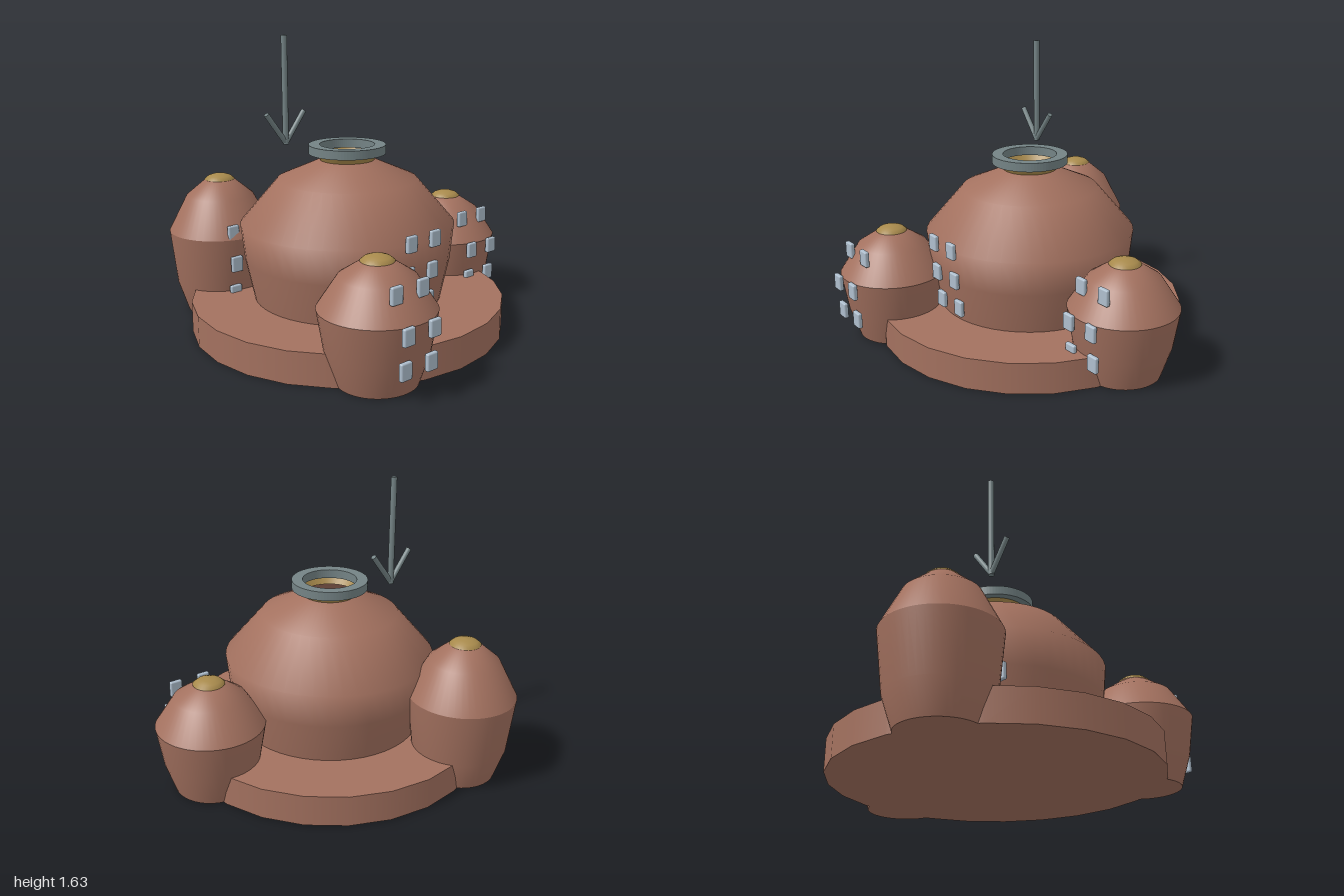
import * as THREE from 'three';
import { RoundedBoxGeometry } from 'three/addons/geometries/RoundedBoxGeometry.js';

const clay = new THREE.MeshStandardMaterial({ color: 0xa3715f, side: THREE.DoubleSide });
clay.name = 'clay';
const brass = new THREE.MeshStandardMaterial({ color: 0xa88a4c, side: THREE.DoubleSide });
brass.name = 'brass';
const steel = new THREE.MeshStandardMaterial({ color: 0x748385 });
steel.name = 'steel';
const glass = new THREE.MeshStandardMaterial({ color: 0xaebecd });
glass.name = 'windowGlass';
const dark = new THREE.MeshStandardMaterial({ color: 0x22302f });
dark.name = 'darkFloor';

function add(parent, name, geometry, material, x = 0, y = 0, z = 0) {
  const mesh = new THREE.Mesh(geometry, material);
  mesh.name = name;
  mesh.position.set(x, y, z);
  parent.add(mesh);
  return mesh;
}

// Surface of revolution from [radius, height] pairs
function lathe(points, segments = 48) {
  return new THREE.LatheGeometry(points.map(([r, y]) => new THREE.Vector2(r, y)), segments);
}

// Two columns of windows; rows are [height, distance to the front]
function addWindows(parent, rows) {
  const pane = new RoundedBoxGeometry(0.07, 0.09, 0.026, 2, 0.008);
  for (const [y, z] of rows)
    for (const x of [-0.085, 0.085]) add(parent, 'window', pane, glass, x, y, z);
}

// Side tower: waist is the height of its widest ring
function makeTower(name, x, z, waist, stretch, rows) {
  const tower = new THREE.Group();
  tower.name = name;
  tower.position.set(x, 0, z);
  add(tower, 'towerBottom', lathe([[0, 0], [0.21, 0]]), clay);
  add(tower, 'towerWall', lathe([[0.21, 0], [0.265, 0.17], [0.3, waist]]), clay);
  const roof = [[0.3, 0], [0.195, 0.16], [0.08, 0.235], [0, 0.24]];
  add(tower, 'towerRoof', lathe(roof.map(([r, y]) => [r, waist + y * stretch])), clay);
  const top = waist + 0.228 * stretch;
  add(tower, 'towerCap', lathe([[0.08, 0], [0.087, 0.008], [0.065, 0.026], [0.035, 0.036], [0, 0.04]], 32),
    brass, 0, top, 0);
  addWindows(tower, rows);
  return tower;
}

export function createModel() {
  const model = new THREE.Group();
  model.name = 'domedStation';

  // Main hall on its round plinth
  const hall = new THREE.Group();
  hall.name = 'mainHall';
  hall.position.set(-0.11, 0, -0.01);
  model.add(hall);
  add(hall, 'plinth', new THREE.CylinderGeometry(0.882, 0.882, 0.175, 24), clay, 0, 0.0875, 0);
  add(hall, 'dome', lathe([[0.53, 0.175], [0.58, 0.41], [0.6, 0.6], [0.39, 0.845], [0.15, 0.95]]), clay);
  addWindows(hall, [[0.61, 0.603], [0.435, 0.587], [0.265, 0.56]]);

  // Open crown with the dark floor below it
  add(hall, 'crownCollar', lathe([[0.15, 0.948], [0.172, 0.985]]), brass);
  add(hall, 'crownRing', lathe([[0.153, 0.985], [0.215, 0.985], [0.215, 1.035], [0.153, 1.035], [0.153, 0.985]]
    .flatMap((p, i, a) => (i > 0 && i < a.length - 1 ? [p, p] : [p]))), steel);
  hall.getObjectByName('crownRing').geometry = ringGeometry(0.153, 0.215, 0.05);
  hall.getObjectByName('crownRing').position.y = 0.985;
  add(hall, 'hallFloor', new THREE.CylinderGeometry(0.52, 0.52, 0.008, 48), dark, 0, 0.18, 0);
  add(hall, 'floorMarker', new THREE.BoxGeometry(0.02, 0.008, 0.07), steel, 0, 0.188, 0);

  // Side towers
  const rows = [[0.52, 0.222], [0.345, 0.305], [0.17, 0.287]];
  model.add(makeTower('frontTower', -0.51, 0.68, 0.38, 1, rows));
  model.add(makeTower('leftTower', 0.69, -0.01, 0.38, 1, rows));
  model.add(makeTower('backTower', -0.51, -0.7, 0.485, 1.27, [[0.52, 0.262], [0.345, 0.29], [0.17, 0.27]]));

  // Antenna mast with two slanting braces
  const antenna = new THREE.Group();
  antenna.name = 'antenna';
  antenna.position.set(-0.353, 1.03, -0.25);
  model.add(antenna);
  add(antenna, 'mast', new THREE.CylinderGeometry(0.017, 0.017, 0.6, 12), steel, 0, 0.3, 0);
  for (const side of [-1, 1]) {
    const brace = add(antenna, 'brace', new THREE.CylinderGeometry(0.015, 0.015, 0.21, 12), steel,
      side * 0.064, 0.093, 0);
    brace.rotation.z = -side * Math.atan2(0.128, 0.17);
  }
  return model;
}

// Flat ring with square edges, lying on y = 0
function ringGeometry(inner, outer, height) {
  const shape = new THREE.Shape().absarc(0, 0, outer, 0, Math.PI * 2);
  shape.holes.push(new THREE.Path().absarc(0, 0, inner, 0, Math.PI * 2, true));
  return new THREE.ExtrudeGeometry(shape, { depth: height, bevelEnabled: false, curveSegments: 40 })
    .rotateX(-Math.PI / 2);
}
